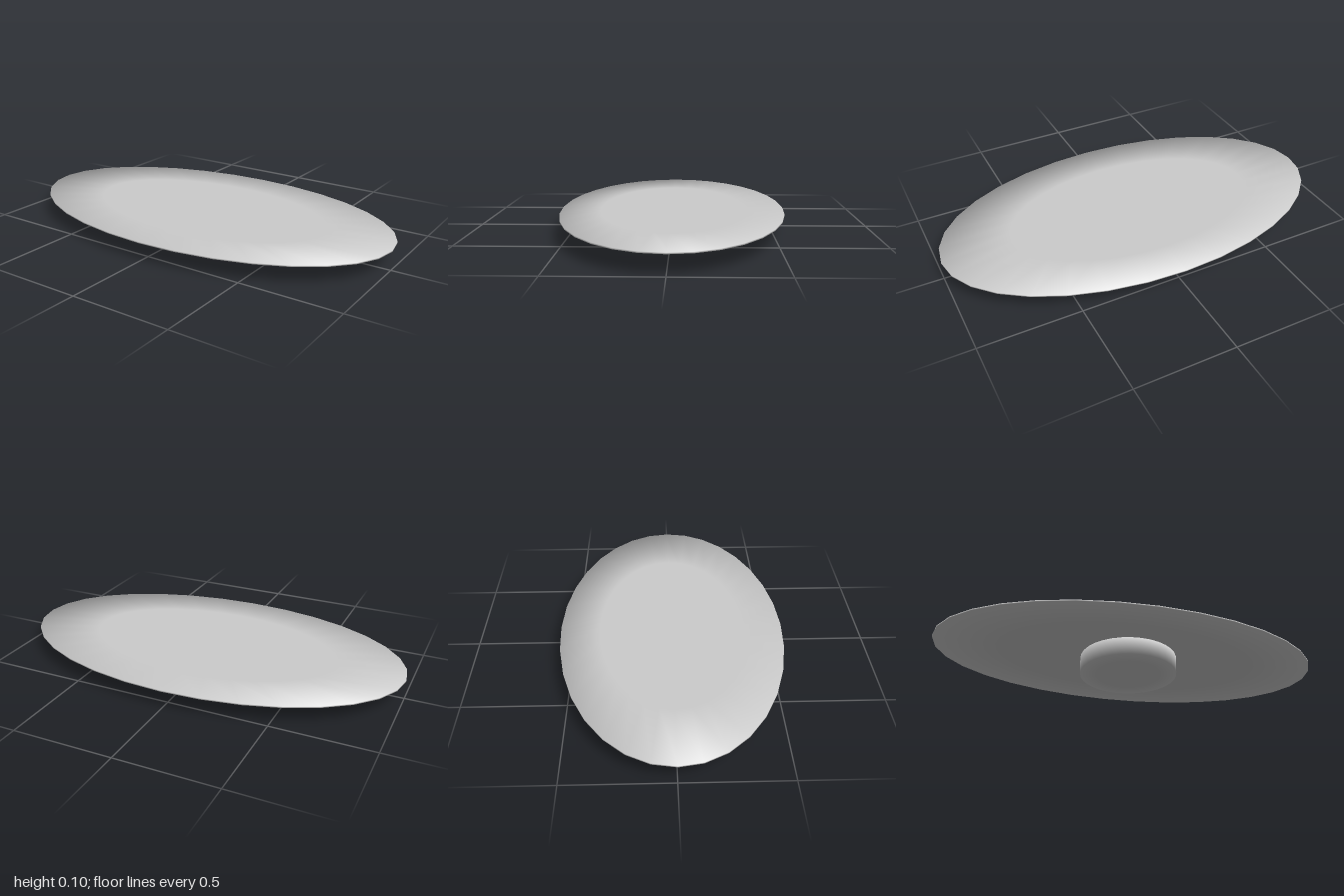
import * as THREE from 'three';

const SEGMENTS = 32;

// Closed elliptical slab whose shading rolls softly over the rim from a flat centre.
function softDisc(name, rx, rz, y0, y1, flat, material) {
  const profile = [[0, y0], [flat, y0], [1, y0], [1, y1], [flat, y1], [0, y1]]
    .map(([r, y]) => new THREE.Vector2(r, y));
  const geometry = new THREE.LatheGeometry(profile, SEGMENTS, Math.PI / 2);
  geometry.scale(rx, 1, rz);

  // Rim normals lean outward at 45 degrees, all others are vertical.
  const { position, normal } = geometry.attributes;
  const n = new THREE.Vector3();
  for (let i = 0; i < position.count; i++) {
    const ring = i % profile.length;
    const up = ring < 3 ? -1 : 1;
    n.set(0, 0, 0);
    if (ring === 2 || ring === 3) {
      n.set(position.getX(i) / rx ** 2, 0, position.getZ(i) / rz ** 2).normalize();
    }
    n.y = up;
    n.normalize();
    normal.setXYZ(i, n.x, n.y, n.z);
  }
  const mesh = new THREE.Mesh(geometry, material);
  mesh.name = name;
  return mesh;
}

export function createModel() {
  const group = new THREE.Group();
  group.name = 'ovalTopOnRoundFoot';
  const grey = new THREE.MeshStandardMaterial({ color: 0xcccccc, side: THREE.DoubleSide });

  // Thin oval top
  group.add(softDisc('ovalTop', 1, 0.567, 0.091, 0.098, 0.65, grey));
  // Short round foot
  group.add(softDisc('roundFoot', 0.25, 0.25, 0, 0.091, 0.65, grey));
  return group;
}
